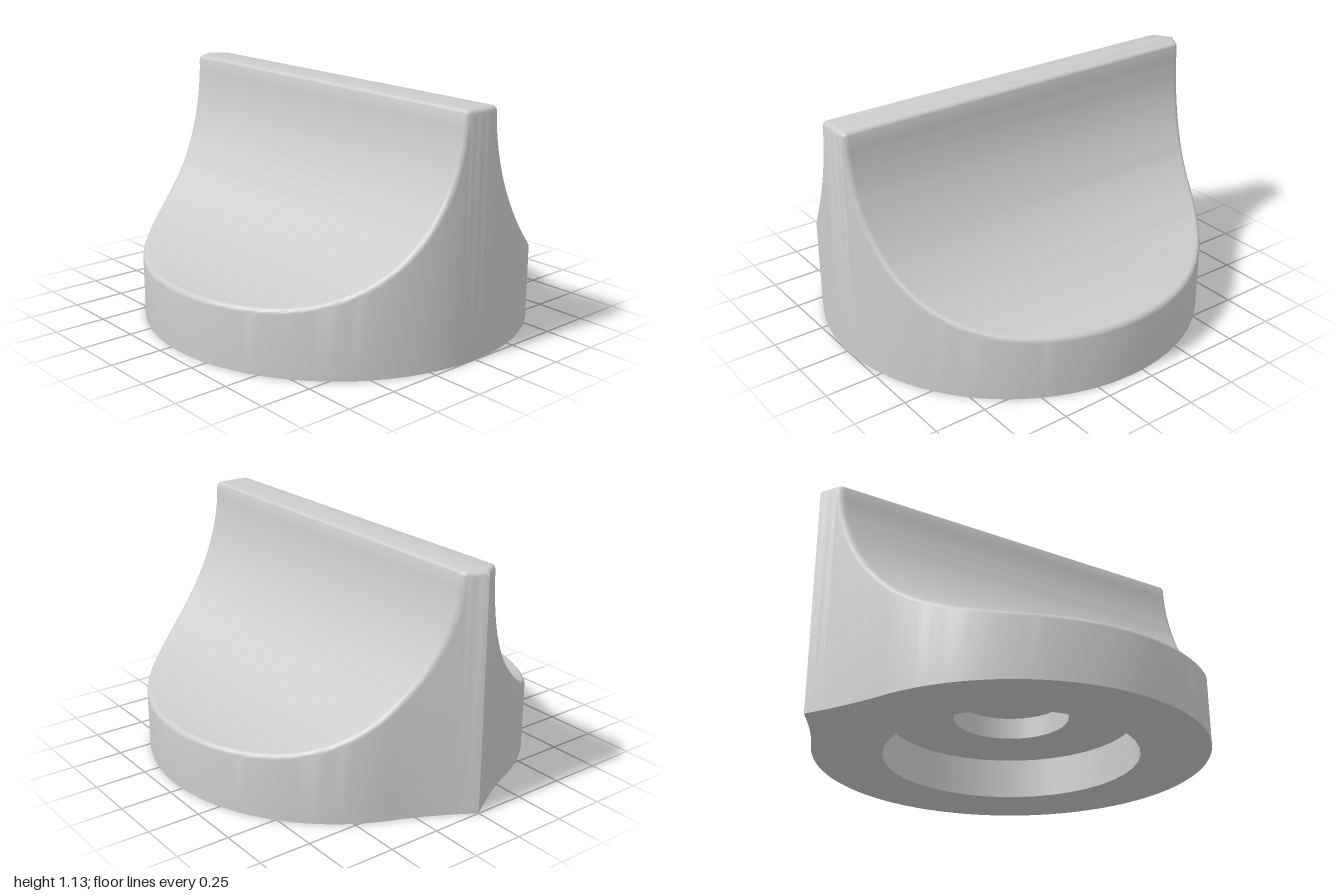
import * as THREE from 'three';
import { toCreasedNormals } from 'three/addons/utils/BufferGeometryUtils.js';

const R = 0.94, CZ = 0.06;        // round body radius and its centre in z
const TOP = 1.135, FILLET = 0.025;

const grey = new THREE.MeshStandardMaterial({ color: 0xcccccc });
const greyInside = new THREE.MeshStandardMaterial({ color: 0xcccccc, side: THREE.BackSide });

// Plan outline: round at the front, drawn out to a pointer at the back
const frontZ = x => CZ + Math.sqrt(Math.max(0, R * R - x * x));
function backZ(x) {
  const a = Math.abs(x);
  if (a > 0.36) return CZ - Math.sqrt(Math.max(0, R * R - a * a));
  const t = 1 - a / 0.36;
  return -0.808 * (1 - t) ** 2 - 0.882 * 2 * t * (1 - t) - t * t;
}

// Half of the front profile: flat ridge, rounded ridge edge, concave scoop
function halfProfile() {
  const pts = [];
  const add = (x, y, nx, ny) => pts.push({ x, y, nx, ny });
  for (const x of [0, 0.025, 0.05]) add(x, TOP, 0, 1);
  for (let i = 0; i <= 4; i++) {
    const a = i / 4 * Math.PI / 2;
    add(0.076 + FILLET * Math.sin(a), TOP - FILLET + FILLET * Math.cos(a), Math.sin(a), Math.cos(a));
  }
  const scoop = phi => add(R - 0.84 * Math.cos(phi), 1.14 - 0.84 * Math.sin(phi), Math.cos(phi), Math.sin(phi));
  for (let i = 1; i <= 18; i++) scoop(0.04 + (i / 18) * (Math.PI / 3 - 0.04));
  // closer spacing in x where the outline turns round the side
  const start = Math.asin(0.52 / R);
  for (let i = 1; i <= 24; i++) {
    const x = R * Math.sin(start + (i / 24) * (Math.PI / 2 - start));
    scoop(Math.acos(Math.min(1, Math.max(0, (R - x) / 0.84))));
  }
  return pts;
}

const half = halfProfile();
const profile = [...half.slice(1).reverse().map(p => ({ ...p, x: -p.x, nx: -p.nx })), ...half];

// Skin: every profile point runs from the back wall, over both rim fillets, to the front wall
function knobSkin() {
  const STEPS = 5;
  const rows = profile.map(p => {
    const back = [], front = [];
    for (let k = 0; k <= STEPS; k++) {
      const a = (1 - k / STEPS) * Math.PI / 2;
      const s = 1 - FILLET * (1 - Math.sin(a)) / R;
      const drop = FILLET * (1 - Math.cos(a));
      const x = p.x * s - p.nx * drop, y = p.y - p.ny * drop;
      const zb = CZ + (backZ(x / s) - CZ) * s, zf = CZ + (frontZ(x / s) - CZ) * s;
      if (k === 0) {
        back.push([x, 0, zb]);
        front.push([x, 0, zf]);
      }
      back.push([x, y, zb]);
      front.push([x, y, zf]);
    }
    return [...back, ...front.reverse()];
  });
  const pos = [];
  const same = (a, b) => Math.hypot(a[0] - b[0], a[1] - b[1], a[2] - b[2]) < 1e-6;
  const tri = (a, b, c) => {
    if (!same(a, b) && !same(b, c) && !same(a, c)) pos.push(...a, ...b, ...c);
  };
  for (let i = 0; i + 1 < rows.length; i++) {
    for (let j = 0; j + 1 < rows[i].length; j++) {
      const a = rows[i][j], b = rows[i][j + 1], c = rows[i + 1][j], d = rows[i + 1][j + 1];
      tri(a, b, c);
      tri(b, d, c);
    }
  }
  const g = new THREE.BufferGeometry();
  g.setAttribute('position', new THREE.Float32BufferAttribute(pos, 3));
  return { geometry: toCreasedNormals(g, 0.55), rows };
}

// Closed loops in the x-z plane
const circle = (r, n = 40) => Array.from({ length: n }, (_, i) =>
  new THREE.Vector2(r * Math.cos(i / n * 2 * Math.PI), CZ + r * Math.sin(i / n * 2 * Math.PI)));
const rect = (w, d) => [[-1, -1], [1, -1], [1, 1], [-1, 1]].map(([x, z]) =>
  new THREE.Vector2(x * w / 2, CZ + z * d / 2));

export function createModel() {
  const group = new THREE.Group();
  const addMesh = (name, geometry, material = grey) => {
    const m = new THREE.Mesh(geometry, material);
    m.name = name;
    group.add(m);
  };
  // Flat face looking down, with an optional hole
  const downFace = (name, loop, hole, y) => {
    const shape = new THREE.Shape(loop);
    if (hole) shape.holes.push(new THREE.Path(hole));
    addMesh(name, new THREE.ShapeGeometry(shape).rotateX(Math.PI / 2).translate(0, y, 0));
  };
  // Inward-facing wall of a pocket
  const roundWall = (name, r, y0, y1) => addMesh(name,
    new THREE.CylinderGeometry(r, r, y1 - y0, 40, 1, true).translate(0, (y0 + y1) / 2, CZ), greyInside);

  const { geometry, rows } = knobSkin();
  addMesh('knobBody', geometry);

  // Underside with stepped recesses and the shaft socket
  const outline = [
    ...rows.map(r => r[r.length - 1]),
    ...rows.slice(1, -1).reverse().map(r => r[0]),
  ].map(p => new THREE.Vector2(p[0], p[2]));
  const socketW = 0.18, socketD = 0.28, socketTop = 0.7;
  downFace('underside', outline, circle(0.61), 0);
  roundWall('recessWall', 0.61, 0, 0.2);
  downFace('recessCeiling', circle(0.61), circle(0.278), 0.2);
  roundWall('innerRecessWall', 0.278, 0.2, 0.307);
  downFace('innerRecessCeiling', circle(0.278), rect(socketW, socketD), 0.307);
  const socket = new THREE.CylinderGeometry(Math.SQRT1_2, Math.SQRT1_2, 1, 4, 1, true)
    .rotateY(Math.PI / 4).scale(socketW, socketTop - 0.307, socketD)
    .translate(0, (socketTop + 0.307) / 2, CZ);
  addMesh('shaftSocketWall', toCreasedNormals(socket, 0.5), greyInside);
  downFace('shaftSocketCeiling', rect(socketW, socketD), null, socketTop);

  return group;
}
